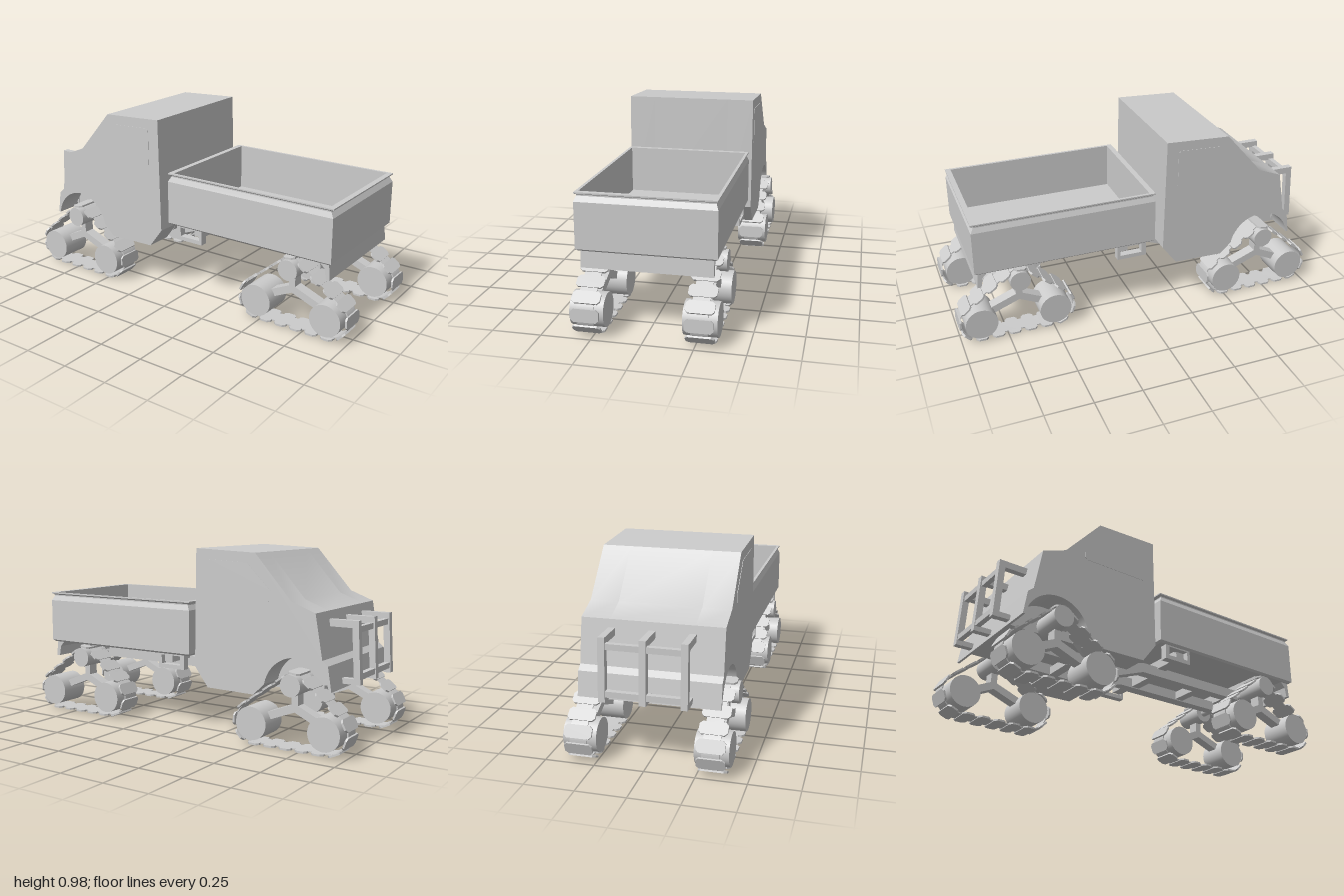
import * as THREE from 'three';
import { toCreasedNormals } from 'three/addons/utils/BufferGeometryUtils.js';

const material = new THREE.MeshStandardMaterial({ color: 0xcccccc });

function add(parent, name, geometry, x = 0, y = 0, z = 0) {
  const mesh = new THREE.Mesh(geometry, material);
  mesh.name = name;
  mesh.position.set(x, y, z);
  parent.add(mesh);
  return mesh;
}

const shapeOf = (pts) => new THREE.Shape(pts.map(([x, y]) => new THREE.Vector2(x, y)));

// Side profile (x, y) extruded from z0 to z1
function slab(shape, z0, z1) {
  const geo = new THREE.ExtrudeGeometry(shape, { depth: z1 - z0, bevelEnabled: false, curveSegments: 24 });
  return toCreasedNormals(geo.translate(0, 0, z0), 0.5);
}

function box(parent, name, x0, x1, y0, y1, z0, z1) {
  return add(parent, name, new THREE.BoxGeometry(x1 - x0, y1 - y0, z1 - z0),
    (x0 + x1) / 2, (y0 + y1) / 2, (z0 + z1) / 2);
}

// Straight square bar between two (x, y) points
function bar(parent, name, a, b, thick, depth, z) {
  const dx = b[0] - a[0], dy = b[1] - a[1];
  const mesh = add(parent, name, new THREE.BoxGeometry(Math.hypot(dx, dy), thick, depth),
    (a[0] + b[0]) / 2, (a[1] + b[1]) / 2, z);
  mesh.rotation.z = Math.atan2(dy, dx);
  return mesh;
}

// Rectangular rings [y, halfX, halfZ] skinned in order and capped at both ends
function ringSkin(rings) {
  const pos = [];
  const corners = ([y, hx, hz]) => [[hx, y, hz], [hx, y, -hz], [-hx, y, -hz], [-hx, y, hz]];
  const quad = (a, b, c, d) => pos.push(...a, ...b, ...c, ...a, ...c, ...d);
  for (let i = 0; i < rings.length - 1; i++) {
    const lo = corners(rings[i]), hi = corners(rings[i + 1]);
    for (let k = 0; k < 4; k++) quad(lo[k], lo[(k + 1) % 4], hi[(k + 1) % 4], hi[k]);
  }
  const first = corners(rings[0]), last = corners(rings[rings.length - 1]);
  quad(first[3], first[2], first[1], first[0]);
  quad(...last);
  const geo = new THREE.BufferGeometry();
  geo.setAttribute('position', new THREE.Float32BufferAttribute(pos, 3));
  geo.computeVertexNormals();
  return geo;
}

// Wheels of one track unit: [x, y, radius, belt radius], counterclockwise
const wheels = [[-0.2, 0.12, 0.086, 0.107], [0.2, 0.12, 0.086, 0.107], [-0.018, 0.335, 0.055, 0.057]];

// Closed belt line wrapped around the three wheels
function beltLoop(path, offset) {
  const exits = wheels.map(([x, y, , r], i) => {
    const [nx, ny, , nr] = wheels[(i + 1) % 3];
    return Math.atan2(ny - y, nx - x) - Math.acos((r - nr) / Math.hypot(nx - x, ny - y));
  });
  wheels.forEach(([x, y, , r], i) => path.absarc(x, y, r + offset, exits[(i + 2) % 3], exits[i], false));
  path.closePath();
  return path;
}

function trackUnit(x, z) {
  const unit = new THREE.Group();
  unit.name = 'trackUnit';
  unit.position.set(x, 0, z);
  for (const [wx, wy, r] of wheels) {
    add(unit, 'trackWheel', new THREE.CylinderGeometry(r, r, 0.168, 28).rotateX(Math.PI / 2), wx, wy, 0);
  }
  // Narrow belt with wide octagonal pads
  const belt = beltLoop(new THREE.Shape(), 0.003);
  belt.holes.push(beltLoop(new THREE.Path(), -0.003));
  add(unit, 'trackBelt', slab(belt, -0.042, 0.042));
  const l = 0.033, w = 0.07, c = 0.014;
  const padShape = shapeOf([[-l, -w + c], [-l + c, -w], [l - c, -w], [l, -w + c],
    [l, w - c], [l - c, w], [-l + c, w], [-l, w - c]]);
  const padGeo = new THREE.ExtrudeGeometry(padShape, { depth: 0.01, bevelEnabled: false })
    .translate(0, 0, -0.005).rotateX(-Math.PI / 2);
  const line = beltLoop(new THREE.Path(), 0.002);
  const count = 18;
  for (let i = 0; i < count; i++) {
    const t = (i + 0.5) / count, p = line.getPoint(t), d = line.getTangent(t);
    add(unit, 'trackPad', padGeo, p.x, p.y, 0).rotation.z = Math.atan2(d.y, d.x);
  }
  // Forked suspension arm
  bar(unit, 'trackStrut', [-0.018, 0.335], [-0.018, 0.2], 0.036, 0.06, 0);
  for (const wx of [-0.2, 0.2]) bar(unit, 'trackArm', [-0.018, 0.215], [wx, 0.13], 0.04, 0.06, 0);
  return unit;
}

export function createModel() {
  const model = new THREE.Group();
  model.name = 'trackedTruck';

  // Cab: core body plus outer sides with wheel arches and sills
  const upper = [[-0.125, 0.365], [-0.135, 0.985], [-0.485, 0.97], [-0.69, 0.74], [-0.82, 0.69],
    [-0.86, 0.465], [-0.89, 0.44], [-0.91, 0.315]];
  const cab = new THREE.Group();
  cab.name = 'cab';
  model.add(cab);
  add(cab, 'cabCore', slab(shapeOf([[-0.16, 0.315], ...upper]), -0.21, 0.21));
  const side = shapeOf([[-0.48, 0.255], [-0.205, 0.26], ...upper]);
  const arch = Math.asin(0.03 / 0.18);
  side.absarc(-0.72, 0.285, 0.18, Math.PI - arch, arch, true);
  side.closePath();
  const windowPane = shapeOf([[-0.2, 0.73], [-0.2, 0.92], [-0.215, 0.93], [-0.44, 0.92], [-0.575, 0.785], [-0.575, 0.74], [-0.56, 0.73]]);
  for (const s of [-1, 1]) {
    add(cab, 'cabSide', slab(side, s > 0 ? 0.21 : -0.355, s > 0 ? 0.355 : -0.21));
    add(cab, 'sideWindow', slab(windowPane, s * 0.355 - 0.002, s * 0.355 + 0.002));
  }

  // Front guard: three uprights with arms to the cab, joined by cross bars
  const guard = new THREE.Group();
  guard.name = 'frontGuard';
  model.add(guard);
  for (const z of [-0.2, 0, 0.2]) {
    bar(guard, 'guardUpright', [-0.965, 0.65], [-0.982, 0.335], 0.034, 0.034, z);
    bar(guard, 'guardUpperArm', [-0.98, 0.632], [-0.81, 0.632], 0.036, 0.034, z);
    bar(guard, 'guardLowerArm', [-0.985, 0.35], [-0.88, 0.35], 0.028, 0.034, z);
  }
  box(guard, 'guardTopBar', -0.977, -0.95, 0.59, 0.62, -0.215, 0.215);
  box(guard, 'guardBottomBar', -0.993, -0.965, 0.36, 0.39, -0.215, 0.215);

  // Chassis: two stepped rails, cross members and axles
  const chassis = new THREE.Group();
  chassis.name = 'chassis';
  model.add(chassis);
  const rail = shapeOf([[-0.77, 0.26], [-0.2, 0.255], [-0.04, 0.315], [0.785, 0.315], [0.785, 0.37],
    [-0.04, 0.37], [-0.2, 0.315], [-0.77, 0.315]]);
  for (const s of [-1, 1]) add(chassis, 'chassisRail', slab(rail, s * 0.1075 - 0.0275, s * 0.1075 + 0.0275));
  for (const x of [-0.74, -0.5, -0.25]) box(chassis, 'crossMember', x, x + 0.05, 0.257, 0.3, -0.09, 0.09);
  for (const x of [0.04, 0.36, 0.73]) box(chassis, 'crossMember', x, x + 0.05, 0.32, 0.365, -0.09, 0.09);
  for (const x of [-0.716, 0.674]) {
    add(chassis, 'axle', new THREE.CylinderGeometry(0.022, 0.022, 0.5, 16).rotateX(Math.PI / 2), x, 0.335, 0);
  }
  for (const x of [0.06, 0.65]) box(chassis, 'bedSupport', x, x + 0.055, 0.36, 0.42, -0.3, 0.3);

  // Open cargo bed with a grooved rim
  add(model, 'cargoBed', ringSkin([[0.41, 0.48, 0.333], [0.42, 0.4925, 0.345], [0.655, 0.4925, 0.345],
    [0.682, 0.477, 0.334], [0.688, 0.477, 0.334], [0.695, 0.4925, 0.343], [0.702, 0.4925, 0.343],
    [0.702, 0.463, 0.328], [0.45, 0.463, 0.328]]), 0.4125, 0, 0);
  add(model, 'rearSkirt', slab(shapeOf([[0.83, 0.415], [0.862, 0.38], [0.872, 0.325], [0.893, 0.325], [0.885, 0.415]]), -0.325, 0.325));

  // Hanging step frames between cab and bed
  const step = shapeOf([[-0.035, 0.33], [0.13, 0.33], [0.13, 0.415], [-0.035, 0.415]]);
  step.holes.push(new THREE.Path([[-0.01, 0.352], [-0.01, 0.402], [0.112, 0.402], [0.112, 0.352]]
    .map(([x, y]) => new THREE.Vector2(x, y))));
  for (const s of [-1, 1]) add(model, 'stepFrame', slab(step, s * 0.31 - 0.02, s * 0.31 + 0.02));

  // Four track units, front pair set wider than the rear pair
  for (const s of [-1, 1]) {
    model.add(trackUnit(-0.698, s * 0.325), trackUnit(0.692, s * 0.275));
  }
  return model;
}
